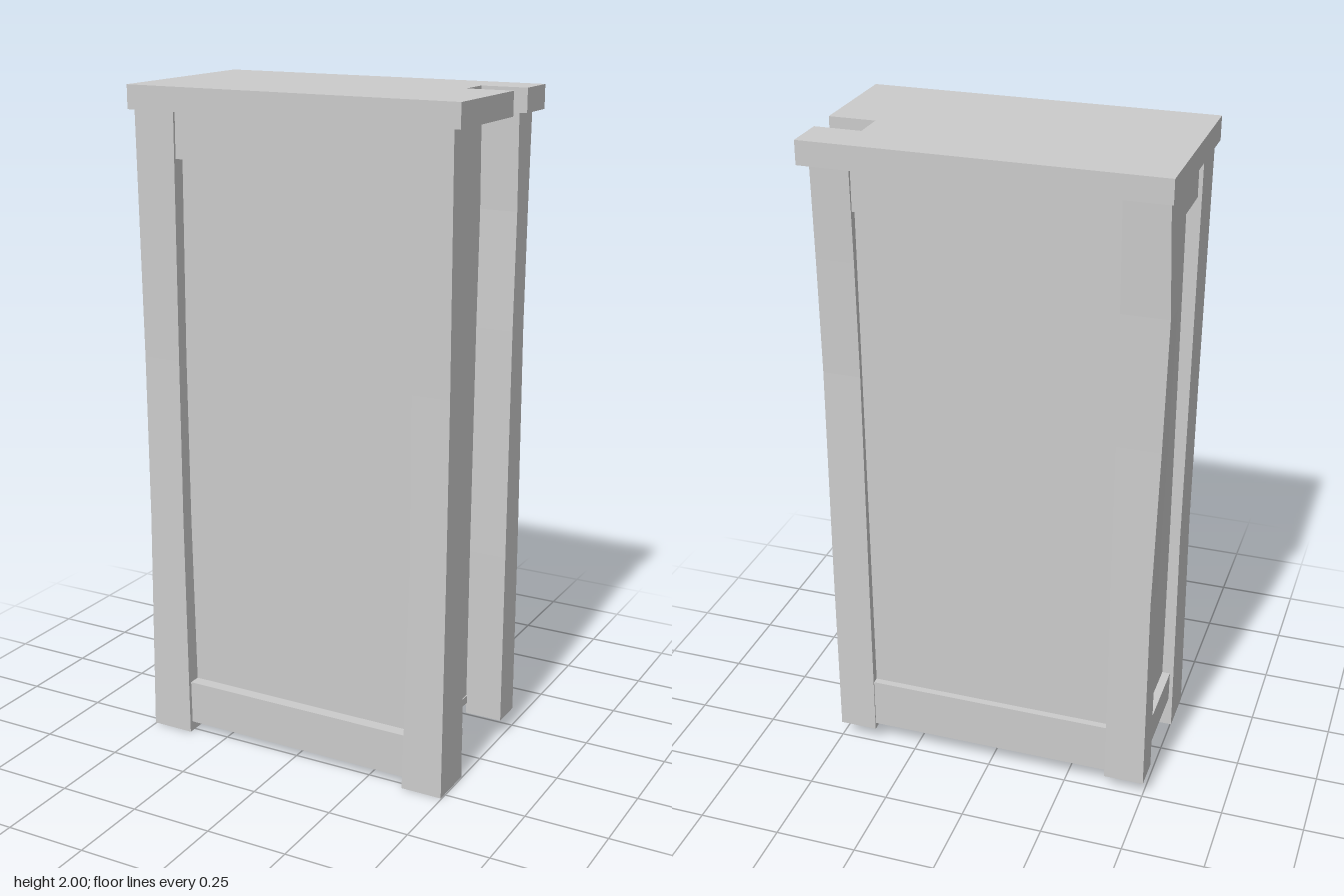
import * as THREE from 'three';

const material = new THREE.MeshStandardMaterial({ color: 0xcccccc, flatShading: true });

// Plain block given by its limits on each axis
function block(name, [x0, x1], [y0, y1], [z0, z1]) {
  const geo = new THREE.BoxGeometry(x1 - x0, y1 - y0, z1 - z0);
  geo.translate((x0 + x1) / 2, (y0 + y1) / 2, (z0 + z1) / 2);
  const mesh = new THREE.Mesh(geo, material);
  mesh.name = name;
  return mesh;
}

// Hand-hewn post: each row is [y, x0, x1, z0, z1], from bottom to top
function post(name, rows) {
  const n = rows.length - 1;
  const geo = new THREE.BoxGeometry(1, 1, 1, 1, n, 1);
  const p = geo.attributes.position;
  for (let i = 0; i < p.count; i++) {
    const r = rows[Math.round((p.getY(i) + 0.5) * n)];
    p.setXYZ(i, p.getX(i) < 0 ? r[1] : r[2], r[0], p.getZ(i) < 0 ? r[3] : r[4]);
  }
  geo.computeVertexNormals();
  const mesh = new THREE.Mesh(geo, material);
  mesh.name = name;
  return mesh;
}

export function createModel() {
  const model = new THREE.Group();
  model.name = 'cabinet';

  // Top board with a notch cut into its left edge (shape y is -z)
  const outline = [[-0.52, -0.285], [0.52, -0.285], [0.52, 0.06], [0.38, 0.06],
    [0.38, 0.16], [0.52, 0.16], [0.52, 0.29], [-0.52, 0.29]];
  const shape = new THREE.Shape(outline.map(([x, y]) => new THREE.Vector2(x, y)));
  const topGeo = new THREE.ExtrudeGeometry(shape, { depth: 0.07, bevelEnabled: false });
  topGeo.rotateX(-Math.PI / 2);
  topGeo.translate(0, 1.93, 0);
  const top = new THREE.Mesh(topGeo, material);
  top.name = 'topBoard';
  model.add(top);

  // Four slightly crooked corner posts; the front pair stands on the ground
  model.add(
    post('frontLeftPost', [
      [0, 0.37, 0.497, 0.13, 0.275],
      [0.7, 0.385, 0.497, 0.14, 0.268],
      [1.2, 0.38, 0.495, 0.135, 0.262],
      [1.94, 0.373, 0.495, 0.13, 0.27],
    ]),
    post('frontRightPost', [
      [0, -0.503, -0.37, 0.13, 0.275],
      [0.7, -0.498, -0.38, 0.135, 0.268],
      [1.2, -0.502, -0.382, 0.135, 0.264],
      [1.94, -0.508, -0.376, 0.13, 0.268],
    ]),
    post('backLeftPost', [
      [0.055, 0.38, 0.497, -0.258, -0.16],
      [0.6, 0.38, 0.497, -0.255, -0.16],
      [1.3, 0.38, 0.495, -0.247, -0.165],
      [1.65, 0.38, 0.495, -0.252, -0.172],
      [1.94, 0.38, 0.495, -0.26, -0.165],
    ]),
    post('backRightPost', [
      [0.055, -0.503, -0.38, -0.258, -0.16],
      [0.7, -0.5, -0.38, -0.253, -0.16],
      [1.2, -0.51, -0.38, -0.246, -0.162],
      [1.6, -0.518, -0.38, -0.25, -0.166],
      [1.94, -0.508, -0.38, -0.263, -0.162],
    ]),
  );

  // Front and back rails above and below the sunken panels
  model.add(
    block('frontTopRail', [-0.4, 0.4], [1.795, 1.94], [0.18, 0.26]),
    block('frontBottomRail', [-0.4, 0.4], [0.03, 0.165], [0.15, 0.262]),
    block('backTopRail', [-0.4, 0.4], [1.8, 1.94], [-0.25, -0.18]),
    block('backBottomRail', [-0.4, 0.4], [0.075, 0.235], [-0.253, -0.17]),
  );

  // Rails of the closed side
  model.add(
    block('sideTopRail', [-0.495, -0.43], [1.81, 1.94], [-0.18, 0.15]),
    block('sideBottomRail', [-0.49, -0.43], [0.1, 0.2], [-0.18, 0.15]),
  );

  // Panels and floor
  model.add(
    block('frontPanel', [-0.4, 0.4], [0.1, 1.94], [0.195, 0.225]),
    block('backPanel', [-0.4, 0.4], [0.115, 1.94], [-0.232, -0.2]),
    block('sidePanel', [-0.465, -0.44], [0.1, 1.94], [-0.2, 0.17]),
    block('innerWall', [0.35, 0.38], [0.1, 1.94], [-0.2, 0.17]),
    block('sideStrip', [0.37, 0.456], [0.1, 1.94], [0.045, 0.16]),
    block('floorStripEnd', [0.37, 0.46], [0.09, 0.115], [0.045, 0.16]),
    block('floor', [-0.45, 0.383], [0.09, 0.115], [-0.2, 0.2]),
  );
  return model;
}
